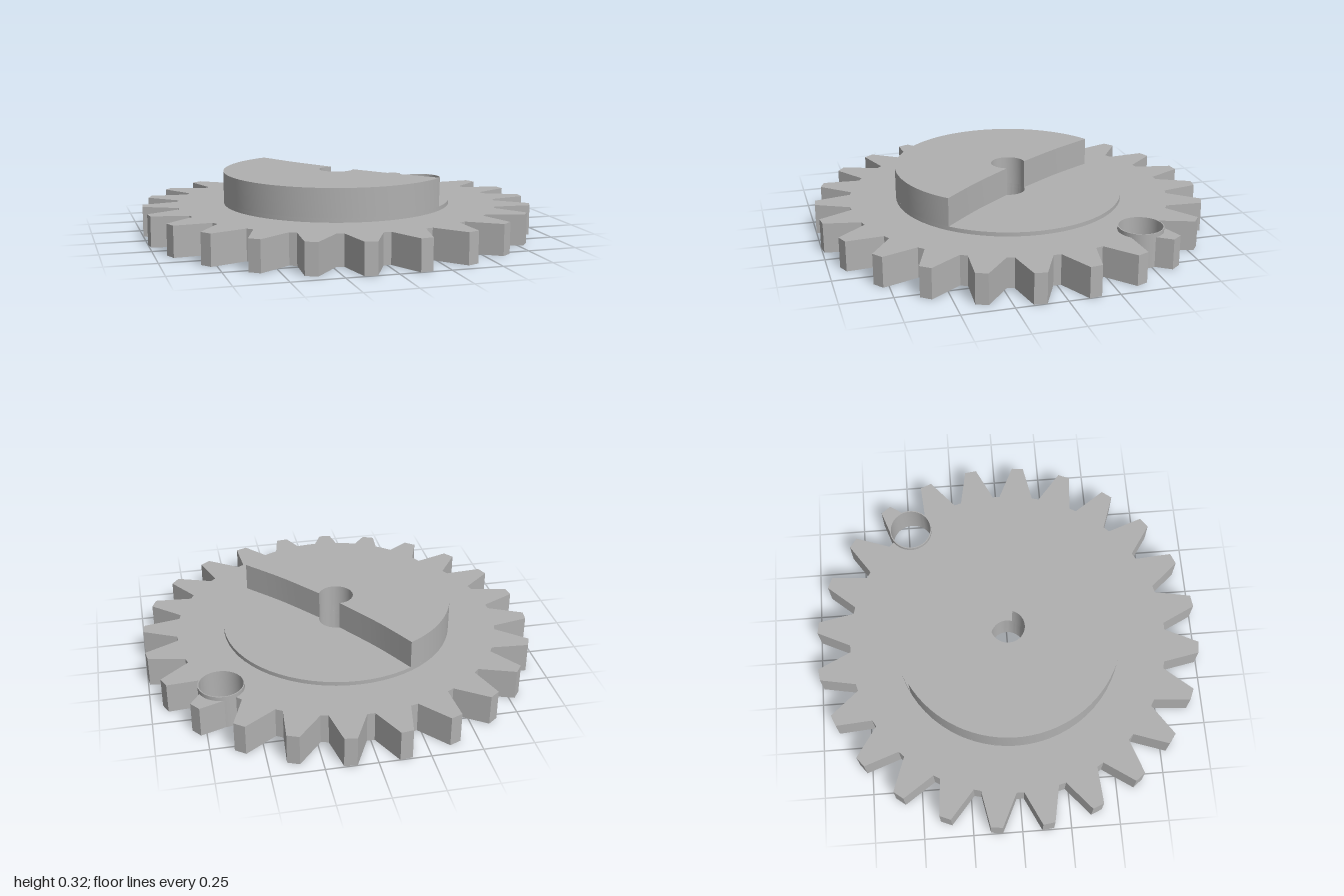
import * as THREE from 'three';
import { toCreasedNormals } from 'three/addons/utils/BufferGeometryUtils.js';

const TEETH = 24, BORE = 0.088, HUB = 0.588;
const SOCKET = new THREE.Vector2(0.658, 0.48), SOCKET_R = 0.113;
const GEAR_TOP = 0.155, STEP_TOP = 0.176, CAM_TOP = 0.322;
const V = (x, y) => new THREE.Vector2(x, y);
const deg = THREE.MathUtils.degToRad;

// Points along an arc from angle a to angle b (radians)
function arc(r, a, b, n, c = V(0, 0)) {
  return Array.from({ length: n + 1 }, (_, i) => {
    const t = a + (b - a) * i / n;
    return V(c.x + r * Math.cos(t), c.y + r * Math.sin(t));
  });
}

const circlePath = (r, c) => new THREE.Path(arc(r, 0, Math.PI * 2, 64, c).slice(0, -1));

// Flat outline in plan, raised from y0 to y1
function slab(shapes, y0, y1) {
  const g = new THREE.ExtrudeGeometry(shapes, { depth: y1 - y0, bevelEnabled: false });
  g.rotateX(-Math.PI / 2).translate(0, y0, 0);
  return toCreasedNormals(g, deg(20));
}

// Trapezoid teeth around the rim
function gearOutline() {
  const pts = [];
  for (let i = 0; i < TEETH; i++) {
    const mid = (i + 0.5) * 360 / TEETH;
    for (const [r, a] of [[0.83, -6.2], [1.005, -1.75], [1.005, 1.75], [0.83, 6.2]]) {
      pts.push(V(r * Math.cos(deg(mid + a)), r * Math.sin(deg(mid + a))));
    }
  }
  return pts;
}

// Cut a round bite from the rim; returns the separate pieces left over
function biteOutline(pts, c, r) {
  const runs = [];
  let run = [];
  pts.forEach((p, i) => {
    const q = pts[(i + 1) % pts.length], d = q.clone().sub(p), f = p.clone().sub(c);
    if (f.length() > r) run.push(p);
    const A = d.dot(d), B = f.dot(d), D = B * B - A * (f.dot(f) - r * r);
    if (D <= 0) return;
    const s = Math.sqrt(D), enter = (-B - s) / A, leave = (-B + s) / A;
    if (enter > 0 && enter < 1) {
      run.push(p.clone().addScaledVector(d, enter));
      runs.push(run);
      run = [];
    }
    if (leave > 0 && leave < 1) run = [p.clone().addScaledVector(d, leave)];
  });
  if (runs.length) runs[0] = run.concat(runs[0]);
  else runs.push(run);
  // Close every piece clockwise along the bite
  return runs.map((piece) => {
    const e = piece[piece.length - 1].clone().sub(c), s = piece[0].clone().sub(c);
    const a = Math.atan2(e.y, e.x);
    let b = Math.atan2(s.y, s.x);
    if (b > a) b -= Math.PI * 2;
    return piece.concat(arc(r, a, b, 40, c).slice(1, -1));
  });
}

export function createModel() {
  const group = new THREE.Group();
  const grey = new THREE.MeshStandardMaterial({ color: 0xb0b0b0 });
  grey.name = 'plain grey';
  const add = (name, geometry) => {
    const mesh = new THREE.Mesh(geometry, grey);
    mesh.name = name;
    group.add(mesh);
  };

  // Toothed wheel; the biggest piece carries the centre bore
  const pieces = biteOutline(gearOutline(), SOCKET, SOCKET_R - 0.002)
    .map((pts) => new THREE.Shape(pts));
  pieces.sort((a, b) => b.getPoints().length - a.getPoints().length);
  pieces[0].holes.push(circlePath(BORE));
  add('gearWheel', slab(pieces, 0, GEAR_TOP));

  // Thin sleeve through the rim
  const sleeve = new THREE.Shape(circlePath(SOCKET_R, SOCKET).getPoints());
  sleeve.holes.push(circlePath(SOCKET_R - 0.005, SOCKET));
  add('rimSleeve', slab(sleeve, 0, STEP_TOP));

  // Low round step
  const step = new THREE.Shape(circlePath(HUB).getPoints());
  step.holes.push(circlePath(BORE));
  add('hubStep', slab(step, GEAR_TOP, STEP_TOP));

  // Raised half disc with a gently curved cut face
  const startA = Math.atan2(0.522, -0.268), endA = deg(315);
  const rim = arc(HUB, startA, endA, 48);
  const boreIn = V(BORE * Math.cos(deg(-20)), BORE * Math.sin(deg(-20)));
  const lower = new THREE.SplineCurve([rim[48], V(0.245, -0.232), boreIn]).getPoints(10);
  const bore = arc(BORE, deg(-20), deg(-269), 40);
  const upper = new THREE.SplineCurve([bore[40], V(-0.152, 0.315), rim[0]]).getPoints(10);
  const cam = new THREE.Shape([
    ...rim, ...lower.slice(1, -1), ...bore, ...upper.slice(1, -1),
  ]);
  add('raisedHalfDisc', slab(cam, STEP_TOP, CAM_TOP));

  return group;
}
